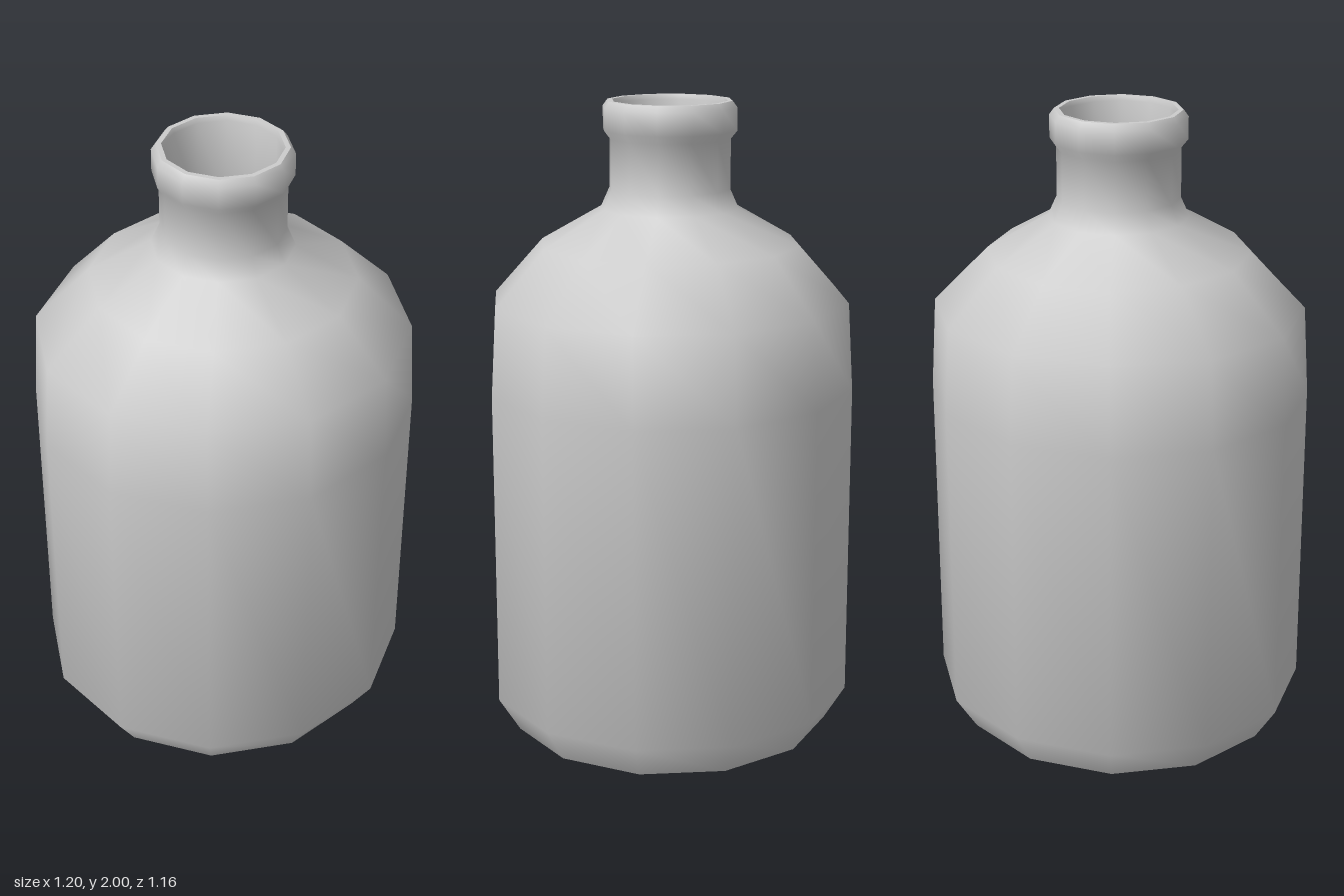
import * as THREE from 'three';
import { toCreasedNormals } from 'three/addons/utils/BufferGeometryUtils.js';

const SIDES = 12;
const DEPTH = 0.966; // the body is slightly shallower than it is wide

// Turned part whose lower body is flattened a little front to back
function turned(name, profile, color) {
  const points = profile.map(([r, y]) => new THREE.Vector2(r, y));
  const geometry = new THREE.LatheGeometry(points, SIDES);
  const pos = geometry.attributes.position;
  for (let i = 0; i < pos.count; i++) {
    if (pos.getY(i) < 1.45) pos.setZ(i, pos.getZ(i) * DEPTH);
  }
  const mesh = new THREE.Mesh(
    toCreasedNormals(geometry, THREE.MathUtils.degToRad(52)),
    new THREE.MeshStandardMaterial({ color })
  );
  mesh.name = name;
  return mesh;
}

export function createModel() {
  const bottle = new THREE.Group();
  bottle.name = 'bottle';

  // Glass: base, wall, shoulder, neck and lip, then back down the inside
  bottle.add(turned('glass', [
    [0, 0], [0.53, 0], [0.6, 0.11], [0.6, 1.11], [0.583, 1.385],
    [0.408, 1.56], [0.217, 1.67], [0.19, 1.73], [0.19, 1.885],
    [0.21, 1.91], [0.21, 1.98], [0.195, 2], [0.18, 2], [0.174, 1.985],
    [0.174, 1.71], [0.2, 1.65], [0.39, 1.54], [0.56, 1.375],
    [0.575, 1.11], [0.575, 0.12], [0.51, 0.03], [0, 0.03],
  ], 0xcccccc));

  // Liquid inside, seen through the mouth
  bottle.add(turned('liquid', [
    [0, 0.04], [0.5, 0.04], [0.565, 0.13], [0.565, 1.2], [0, 1.2],
  ], 0xd00010));

  return bottle;
}
